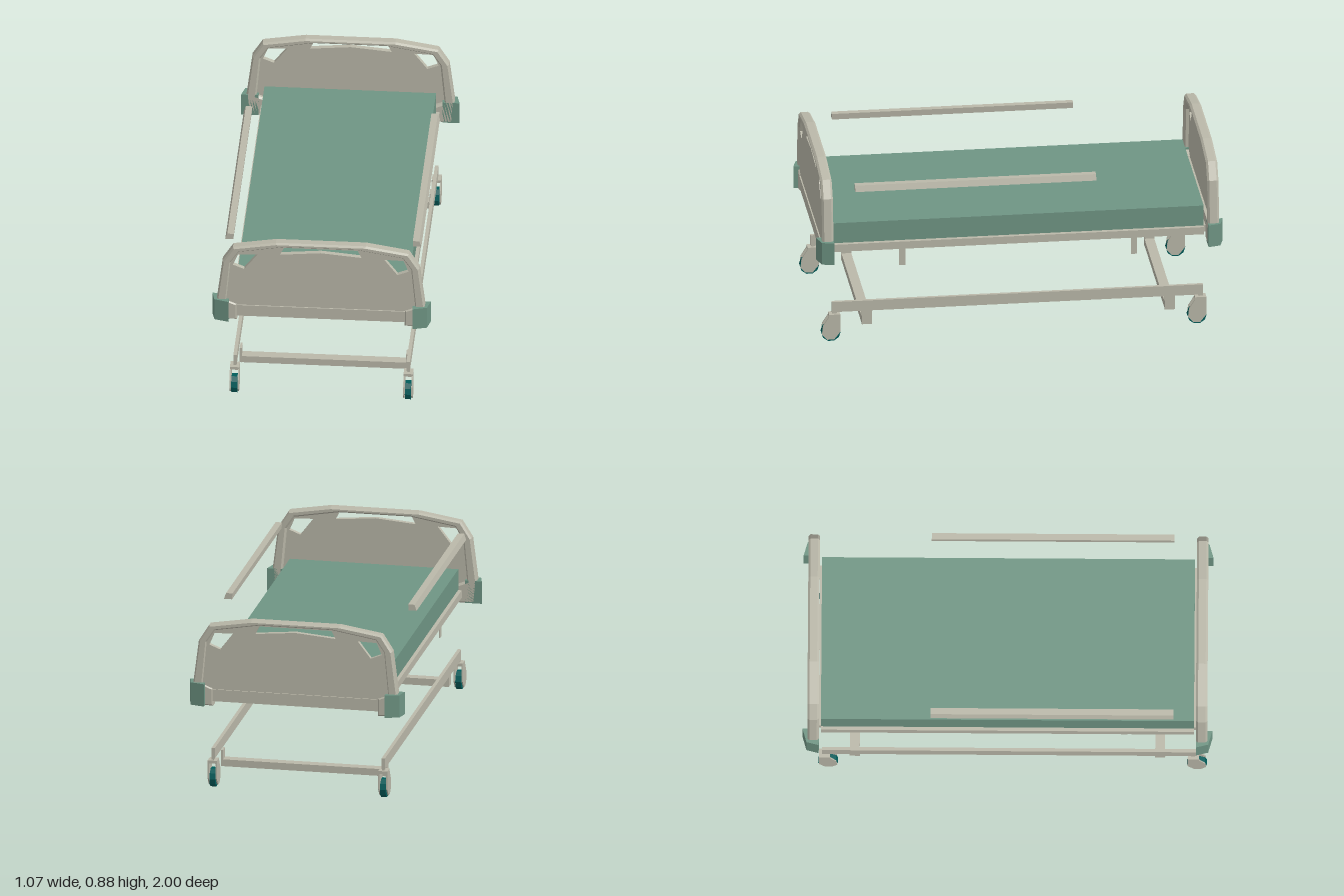
import * as THREE from 'three';

const material = (name, color) => {
  const m = new THREE.MeshStandardMaterial({ color });
  m.name = name;
  return m;
};

const toShape = (pts) => new THREE.Shape(pts.map(([x, y]) => new THREE.Vector2(x, y)));
const mirrorLoop = (half) => [...half, ...half.map(([x, y]) => [-x, y]).reverse()];

export function createModel() {
  const beige = material('beige frame', 0xbab8a9);
  const green = material('sage green', 0x6f9584);
  const teal = material('dark teal', 0x005c5a);
  const model = new THREE.Group();
  model.name = 'hospitalBed';

  const add = (parent, name, geo, mat) => {
    const mesh = new THREE.Mesh(geo, mat);
    mesh.name = name;
    parent.add(mesh);
    return mesh;
  };
  // Box given by its minimum and maximum on each axis
  const box = (parent, name, [x0, x1], [y0, y1], [z0, z1], mat) => {
    const mesh = add(parent, name, new THREE.BoxGeometry(Math.abs(x1 - x0), y1 - y0, z1 - z0), mat);
    mesh.position.set((x0 + x1) / 2, (y0 + y1) / 2, (z0 + z1) / 2);
    return mesh;
  };
  // Profile in x-y, extruded along z
  const alongZ = (pts, z0, z1) =>
    new THREE.ExtrudeGeometry(toShape(pts), { depth: z1 - z0, bevelEnabled: false }).translate(0, 0, z0);
  // Profile in z-y, extruded along x
  const alongX = (pts, x0, x1) =>
    new THREE.ExtrudeGeometry(toShape(pts.map(([z, y]) => [-z, y])), { depth: x1 - x0, bevelEnabled: false })
      .rotateY(Math.PI / 2).translate(x0, 0, 0);
  // Profile in x-z, extruded upward
  const alongY = (pts, y0, y1) =>
    new THREE.ExtrudeGeometry(toShape(pts.map(([x, z]) => [x, -z])), { depth: y1 - y0, bevelEnabled: false })
      .rotateX(-Math.PI / 2).translate(0, y0, 0);

  // Mattress and the deck below it
  box(model, 'mattress', [-0.42, 0.42], [0.51, 0.615], [-0.91, 0.91], green);
  box(model, 'deck', [-0.415, 0.415], [0.475, 0.509], [-0.92, 0.92], beige);

  // Head and foot boards
  const outer = [[0.41, 0.44], [0.5, 0.44], [0.51, 0.55], [0.482, 0.77], [0.43, 0.852], [0.22, 0.886]];
  const inner = [[0.18, 0.862], [0.4, 0.825], [0.44, 0.765], [0.46, 0.55], [0.41, 0.53]];
  const frameOutline = [
    ...outer, ...outer.slice().reverse().map(([x, y]) => [-x, y]),
    ...inner.slice().reverse().map(([x, y]) => [-x, y]), ...inner,
  ];
  // The loop runs around the arch and back along its inside edge
  const panelOutline = mirrorLoop([[0.41, 0.465], [0.48, 0.5], [0.48, 0.56], [0.455, 0.77], [0.41, 0.835], [0.2, 0.87]]);
  const cornerHole = [[0.31, 0.815], [0.405, 0.812], [0.43, 0.752], [0.375, 0.73]];
  const slot = [[-0.18, 0.86], [0.18, 0.86], [0.2, 0.82], [0, 0.838], [-0.2, 0.82]];

  const makeBoard = (name) => {
    const board = new THREE.Group();
    board.name = name;
    const frameShape = toShape([
      ...outer, ...outer.slice().reverse().map(([x, y]) => [-x, y]),
      ...inner.slice().reverse().map(([x, y]) => [-x, y]),
      ...inner.slice().reverse().map(([x, y]) => [x, y]).reverse(),
    ]);
    add(board, 'boardFrame', new THREE.ExtrudeGeometry(frameShape, {
      depth: 0.036, bevelEnabled: true, bevelThickness: 0.01, bevelSize: 0.008, bevelOffset: -0.008, bevelSegments: 1,
    }).translate(0, 0, 0.93), beige);

    const panel = toShape(panelOutline);
    for (const pts of [cornerHole, cornerHole.map(([x, y]) => [-x, y]), slot]) panel.holes.push(toShape(pts));
    add(board, 'boardPanel', new THREE.ExtrudeGeometry(panel, { depth: 0.024, bevelEnabled: false })
      .translate(0, 0, 0.945), beige);
    box(board, 'lowerStrip', [-0.412, 0.412], [0.465, 0.525], [0.93, 0.975], beige);

    // Chamfered corner bumpers
    for (const s of [-1, 1]) {
      const plan = [[0.45, 0.92], [0.535, 0.92], [0.52, 0.98], [0.45, 1.0]].map(([x, z]) => [s * x, z]);
      add(board, 'cornerBumper', alongY(plan, 0.442, 0.556), green);
    }
    model.add(board);
    return board;
  };
  makeBoard('footBoard');
  makeBoard('headBoard').rotation.y = Math.PI;

  // Lower chassis cross bars
  for (const s of [-1, 1]) {
    const z = s * 0.745;
    box(model, 'crossBar', [-0.41, 0.41], [0.07, 0.105], [z - 0.024, z + 0.024], beige);
  }

  for (const s of [-1, 1]) {
    // Floating safety rail
    const railProfile = [[0.44, 0.8], [0.48, 0.8], [0.47, 0.83], [0.438, 0.83]].map(([x, y]) => [s * x, y]);
    add(model, 'safetyRail', alongZ(railProfile, -0.375, 0.81), beige);

    // Deck edge and chassis side bars
    box(model, 'deckEdge', [s * 0.415, s * 0.437], [0.47, 0.508], [-0.91, 0.91], beige);
    box(model, 'chassisBar', [s * 0.415, s * 0.432], [0.15, 0.203], [-0.905, 0.92], beige);

    // Strips running under the deck
    box(model, 'underStrip', [s * 0.125, s * 0.15], [0.455, 0.474], [-0.53, 0.58], beige);

    for (const e of [-1, 1]) {
      // Chassis bracket joining side bar and cross bar
      const z = e * 0.745;
      box(model, 'chassisBracket', [s * 0.402, s * 0.412], [0.07, 0.152], [z - 0.025, z + 0.025], beige);

      // Plates hanging from the deck
      box(model, 'hangerPlate', [s * 0.397, s * 0.403], [0.37, 0.474], [e * 0.57 - 0.015, e * 0.57 + 0.015], beige);
      const lug = alongX([[0.5, 0.46], [0.57, 0.355], [0.59, 0.37], [0.525, 0.46]].map(([a, b]) => [e * a, b]), -0.004, 0.004);
      const p = lug.attributes.position;
      for (let i = 0; i < p.count; i++) p.setX(i, p.getX(i) + s * (0.145 - (0.46 - p.getY(i)) * 0.33));
      lug.computeVertexNormals();
      add(model, 'hangerLug', lug, beige);

      // Caster, trailing the same way at both ends
      const caster = new THREE.Group();
      caster.name = 'caster';
      caster.position.set(s * 0.425, 0, e > 0 ? 0.925 : -0.875);
      const cheek = [[-0.045, 0.14], [-0.045, 0.05], [-0.015, 0.012], [0.02, 0.012], [0.045, 0.04], [0.04, 0.085], [0.005, 0.14]];
      for (const side of [-1, 1]) {
        const x = side * 0.02;
        add(caster, 'casterCheek', alongX(cheek, x - 0.003, x + 0.003), beige);
      }
      box(caster, 'casterCap', [-0.023, 0.023], [0.128, 0.143], [-0.045, 0.01], beige);
      box(caster, 'casterStem', [-0.006, 0.006], [0.14, 0.17], [-0.03, -0.01], beige);
      const wheel = new THREE.CylinderGeometry(0.048, 0.048, 0.028, 10).toNonIndexed();
      wheel.computeVertexNormals();
      wheel.rotateZ(Math.PI / 2).translate(0, 0.048, 0);
      add(caster, 'casterWheel', wheel, teal);
      model.add(caster);
    }
  }
  return model;
}
